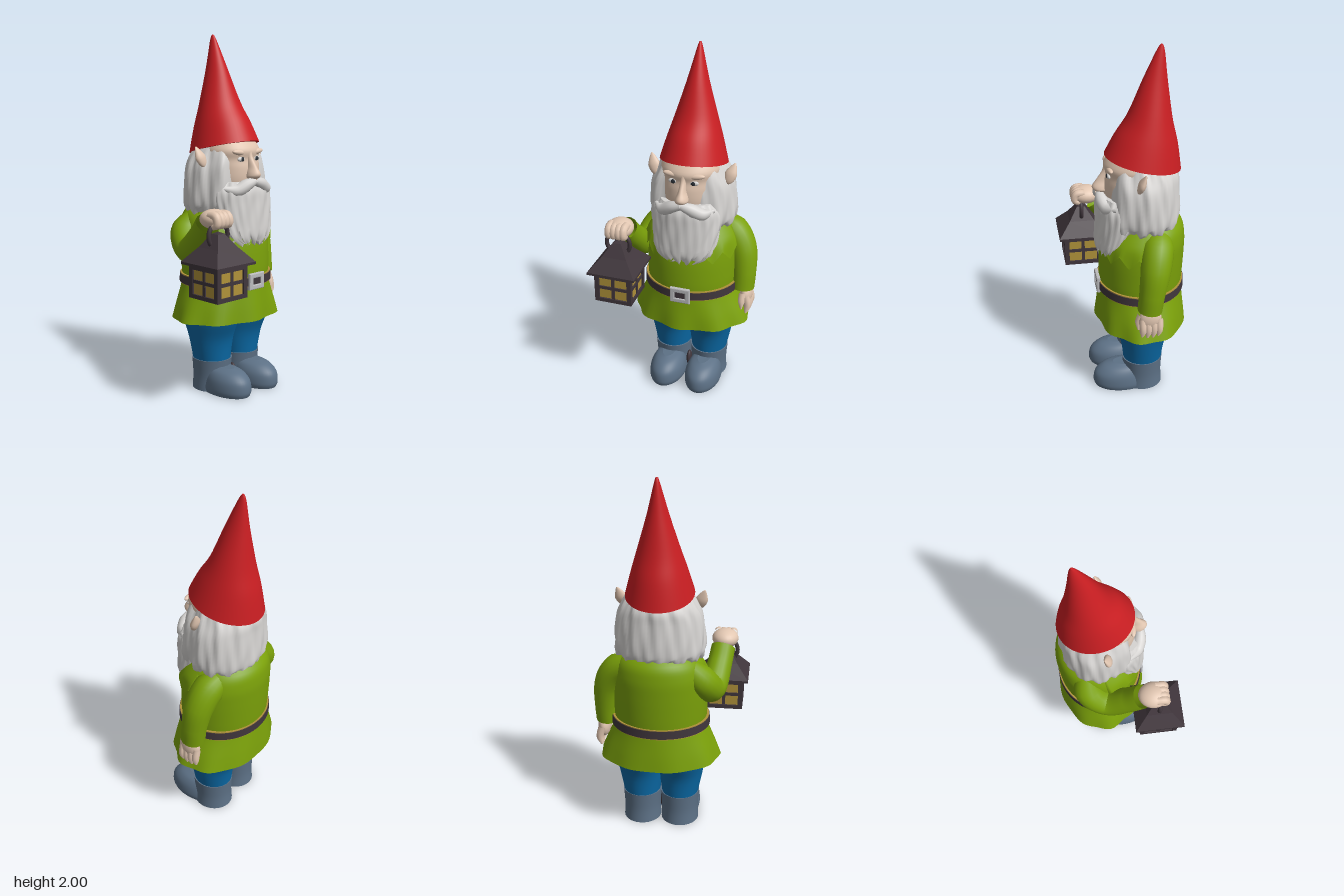
import * as THREE from 'three';

const mat = (name, color, side = THREE.FrontSide) => {
  const m = new THREE.MeshStandardMaterial({ color, side });
  m.name = name;
  return m;
};

export function createModel() {
  const red = mat('hat red', 0xca1e22);
  const green = mat('tunic green', 0x7ba10a, THREE.DoubleSide);
  const blue = mat('trouser blue', 0x0a69a5);
  const slate = mat('boot slate', 0x5d7186);
  const skin = mat('skin', 0xe2c7b2);
  const white = mat('hair white', 0xd6d4d2);
  const iron = mat('dark iron', 0x40363c);
  const amber = mat('window amber', 0xb0923a);
  const silver = mat('buckle silver', 0xbcbcbe);
  const pupilDark = mat('pupil dark', 0x2b3138);

  const gnome = new THREE.Group();
  gnome.name = 'gardenFigure';
  const CX = 0.05; // the body's own centre line

  const add = (name, geo, material, parent = gnome) => {
    const m = new THREE.Mesh(geo, material);
    m.name = name;
    parent.add(m);
    return m;
  };

  // Smooth skin through elliptical sections [y, cx, cz, rx, rz], bottom to top
  const loft = (sections, { n = 40, steps = 5, mod, caps = true } = {}) => {
    const pos = [], idx = [];
    const spline = [0, 1, 2, 3, 4].map(k => s => {
      const i = Math.min(Math.floor(s), sections.length - 2), t = s - i;
      const v = j => sections[Math.max(0, Math.min(sections.length - 1, j))][k];
      const a = v(i - 1), b = v(i), c = v(i + 1), d = v(i + 2);
      return b + 0.5 * t * (c - a + t * (2 * a - 5 * b + 4 * c - d + t * (3 * (b - c) + d - a)));
    });
    const rows = (sections.length - 1) * steps;
    for (let r = 0; r <= rows; r++) {
      const [y, cx, cz, rx, rz] = spline.map(f => f(r / steps));
      for (let i = 0; i < n; i++) {
        const a = i / n * Math.PI * 2;
        const { k = 1, dy = 0 } = mod ? mod(a, y, rz * Math.cos(a)) : {};
        pos.push(cx + rx * k * Math.sin(a), y + dy, cz + rz * k * Math.cos(a));
        if (r < rows) {
          const p = r * n + i, q = r * n + (i + 1) % n;
          idx.push(p, q, q + n, p, q + n, p + n);
        }
      }
    }
    // Flat end caps with their own vertices
    if (caps) for (const r of [0, rows]) {
      const base = pos.length / 3, c = [0, 0, 0];
      for (let i = 0; i < n; i++) for (let k = 0; k < 3; k++) {
        const v = pos[(r * n + i) * 3 + k];
        pos.push(v);
        c[k] += v / n;
      }
      pos.push(...c);
      for (let i = 0; i < n; i++) {
        const p = base + i, q = base + (i + 1) % n;
        idx.push(...(r ? [p, q, base + n] : [q, p, base + n]));
      }
    }
    const g = new THREE.BufferGeometry();
    g.setAttribute('position', new THREE.Float32BufferAttribute(pos, 3));
    g.setIndex(idx);
    g.computeVertexNormals();
    return g;
  };

  // Tube along points whose radius follows a list spread evenly over its length
  const limb = (points, radii, segs = 30, sides = 18) => {
    const curve = new THREE.CatmullRomCurve3(points.map(p => new THREE.Vector3(...p)));
    const g = new THREE.TubeGeometry(curve, segs, 1, sides);
    const p = g.attributes.position, v = new THREE.Vector3();
    for (let i = 0; i < p.count; i++) {
      const u = Math.floor(i / (sides + 1)) / segs, s = u * (radii.length - 1);
      const j = Math.min(Math.floor(s), radii.length - 2);
      const r = THREE.MathUtils.lerp(radii[j], radii[j + 1], s - j);
      const c = curve.getPointAt(u);
      v.fromBufferAttribute(p, i).sub(c).multiplyScalar(r).add(c);
      p.setXYZ(i, v.x, v.y, v.z);
    }
    return g;
  };

  const blob = (name, material, [x, y, z], [rx, ry, rz], rotZ = 0) => {
    const m = add(name, new THREE.SphereGeometry(1, 24, 16), material);
    m.position.set(x, y, z);
    m.scale.set(rx, ry, rz);
    m.rotation.z = rotZ;
  };

  // Pointed hat with its brim lower at the back
  add('hat', loft([[1.375, CX, -0.095, 0.187, 0.207], [1.5, CX, -0.112, 0.152, 0.169], [1.62, CX, -0.13, 0.115, 0.12],
    [1.8, CX, -0.152, 0.06, 0.07], [1.96, CX, -0.179, 0.018, 0.024], [2, CX, -0.185, 0.006, 0.006]],
    { n: 48, mod: (a, y, z) => ({ dy: 0.22 * z * Math.max(0, Math.min(1, (1.75 - y) / 0.37)) }) }), red);

  // Head and face, with a wedge-shaped nose
  add('face', loft([[1.1, CX, -0.04, 0.13, 0.14], [1.2, CX, -0.04, 0.155, 0.158], [1.27, CX, -0.04, 0.158, 0.158],
    [1.32, CX, -0.04, 0.158, 0.15], [1.37, CX, -0.045, 0.163, 0.16], [1.43, CX, -0.05, 0.14, 0.125]]), skin);
  add('nose', loft([[1.212, CX, 0.125, 0.02, 0.03], [1.225, CX, 0.13, 0.036, 0.045], [1.245, CX, 0.13, 0.033, 0.05],
    [1.28, CX, 0.115, 0.021, 0.042], [1.33, CX, 0.1, 0.017, 0.025], [1.37, CX, 0.095, 0.022, 0.02]], { n: 24 }), skin);
  for (const s of [-1, 1]) {
    blob('brow', skin, [CX + s * 0.062, 1.358, 0.092], [0.055, 0.016, 0.018], s * 0.12);
    blob('eye', white, [CX + s * 0.058, 1.322, 0.098], [0.027, 0.014, 0.011]);
    blob('pupil', pupilDark, [CX + s * 0.056, 1.322, 0.107], [0.012, 0.012, 0.004]);
    // Ear pinched to a point at the top
    const g = new THREE.SphereGeometry(1, 20, 14), p = g.attributes.position;
    for (let i = 0; i < p.count; i++) {
      const k = 1 - 0.55 * Math.max(0, p.getY(i));
      p.setXYZ(i, p.getX(i) * k, p.getY(i), p.getZ(i) * k);
    }
    g.computeVertexNormals();
    const ear = add('ear', g, skin);
    ear.position.set(CX + s * 0.22, 1.335, -0.055);
    ear.scale.set(0.034, 0.062, 0.02);
    ear.rotation.set(-0.3, 0, -s * 0.3);
    // Broad moustache drooping into the beard
    add('moustache', limb([[CX, 1.2, 0.142], [CX + s * 0.05, 1.185, 0.138], [CX + s * 0.11, 1.155, 0.115],
      [CX + s * 0.165, 1.165, 0.07]], [0.022, 0.036, 0.034, 0.01], 24, 14), white);
  }

  // Hair and beard with wavy strands and a ragged lower edge
  const strands = (low, sideburn) => (a, y) => ({
    k: 1 + 0.025 * Math.sin(11 * a + 3 * Math.sin(y * 9)) + 0.016 * Math.sin(23 * a + y * 14)
      + sideburn * Math.exp(-(((Math.acos(Math.cos(a)) - 0.72) / 0.2) ** 2)),
    dy: y < low ? 0.012 * Math.sin(13 * a) + 0.008 * Math.sin(29 * a) : 0,
  });
  add('hair', loft([[1.01, CX, -0.1, 0.2, 0.15], [1.05, CX, -0.1, 0.237, 0.19], [1.12, CX, -0.1, 0.245, 0.198],
    [1.25, CX, -0.1, 0.232, 0.192], [1.33, CX, -0.1, 0.2, 0.183], [1.42, CX, -0.085, 0.15, 0.13]],
    { n: 96, mod: strands(1.06, 0.11) }), white);
  add('beard', loft([[0.86, CX, 0.115, 0.09, 0.04], [0.9, CX, 0.1, 0.155, 0.07], [0.97, CX, 0.07, 0.18, 0.1],
    [1.08, CX, 0.04, 0.195, 0.125], [1.15, CX, 0.03, 0.19, 0.13], [1.2, CX, 0.02, 0.16, 0.118]],
    { n: 96, mod: strands(0.93, 0) }), white);

  // Tunic with folds toward the hem, softer at the back
  add('tunic', loft([[0.42, 0.055, -0.085, 0.34, 0.255], [0.5, 0.053, -0.085, 0.31, 0.248], [0.6, CX, -0.085, 0.268, 0.237],
    [0.64, CX, -0.085, 0.259, 0.234], [0.72, CX, -0.087, 0.262, 0.237], [0.85, CX, -0.094, 0.264, 0.236],
    [0.95, CX, -0.105, 0.255, 0.225], [1.03, CX, -0.12, 0.212, 0.188], [1.1, CX, -0.12, 0.1, 0.1]],
    { n: 64, caps: false, mod: (a, y) => ({
      k: 1 + (0.13 + 0.07 * Math.cos(a)) * Math.max(0, 0.6 - y) * Math.cos(9 * a + 0.6),
    }) }), green);
  add('collar', loft([[0.88, CX, -0.09, 0.276, 0.25], [0.96, CX, -0.1, 0.259, 0.23], [1.04, CX, -0.12, 0.205, 0.19]],
    { n: 112, caps: false, mod: (a, y) => ({
      k: Math.cos(a) < 0.15 ? 0.92 : 1,
      dy: y < 0.95 ? (Math.abs((a * 14 / Math.PI) % 2 - 1) - 0.5) * 0.9 * (0.95 - y) : 0,
    }) }), green);

  // Belt with a thin trim, and its buckle
  add('beltTrim', loft([[0.616, CX, -0.085, 0.274, 0.244], [0.672, CX, -0.085, 0.272, 0.243]], { n: 64, steps: 1 }), amber);
  add('belt', loft([[0.621, CX, -0.085, 0.277, 0.247], [0.667, CX, -0.085, 0.275, 0.246]], { n: 64, steps: 1 }), iron);
  const frame = new THREE.Shape([[-0.052, -0.04], [0.052, -0.04], [0.052, 0.04], [-0.052, 0.04]].map(p => new THREE.Vector2(...p)));
  frame.holes.push(new THREE.Path([[-0.036, -0.024], [-0.036, 0.024], [0.036, 0.024], [0.036, -0.024]].map(p => new THREE.Vector2(...p))));
  add('buckle', new THREE.ExtrudeGeometry(frame, { depth: 0.012, bevelSize: 0.006, bevelThickness: 0.005, bevelSegments: 2 }), silver)
    .position.set(CX, 0.645, 0.153);
  add('buckleCentre', new THREE.BoxGeometry(0.08, 0.062, 0.018), iron).position.set(CX, 0.645, 0.155);

  // Trousers and boots
  for (const s of [-1, 1]) {
    const c = CX + s * 0.11;
    add('trouserLeg', loft([[0.16, c, -0.085, 0.102, 0.11], [0.3, c + s * 0.005, -0.085, 0.125, 0.13],
      [0.43, c + s * 0.01, -0.085, 0.142, 0.185], [0.52, c + s * 0.01, -0.085, 0.13, 0.19]]), blue);
    add('bootShaft', loft([[0, c, -0.085, 0.108, 0.115], [0.08, c, -0.085, 0.105, 0.11], [0.18, c, -0.083, 0.112, 0.117]]), slate);
    add('bootFoot', loft([[0, c, 0.03, 0.1, 0.165], [0.03, c, 0.035, 0.106, 0.17], [0.085, c, 0.04, 0.098, 0.155],
      [0.125, c, 0.025, 0.075, 0.125], [0.144, c, 0, 0.04, 0.09]]), slate);
  }
  blob('bootClasp', iron, [CX, 0.075, -0.03], [0.016, 0.05, 0.03]);

  // Left arm hanging, with relaxed fingers
  add('leftSleeve', limb([[0.19, 0.98, -0.16], [0.28, 0.94, -0.14], [0.335, 0.85, -0.12], [0.353, 0.72, -0.1], [0.352, 0.615, -0.088]],
    [0.065, 0.088, 0.084, 0.077, 0.07, 0.068]), green);
  blob('leftPalm', skin, [0.375, 0.575, -0.087], [0.036, 0.07, 0.062]);
  for (let i = 0; i < 4; i++) {
    const z = -0.135 + i * 0.03;
    add('leftFinger', limb([[0.38, 0.58, z], [0.394, 0.52, z], [0.386, 0.455 + Math.abs(i - 1.5) * 0.008, z + 0.004]],
      [0.022, 0.022, 0.02, 0.006], 14, 10), skin);
  }
  add('leftThumb', limb([[0.365, 0.6, -0.04], [0.362, 0.55, -0.024], [0.362, 0.5, -0.024]], [0.022, 0.02, 0.005], 12, 10), skin);

  // Right arm bent forward, with a closed fist
  add('rightSleeve', limb([[-0.1, 0.99, -0.17], [-0.19, 0.9, -0.16], [-0.235, 0.83, -0.07], [-0.265, 0.92, 0.05], [-0.28, 1.0, 0.12]],
    [0.06, 0.085, 0.08, 0.076, 0.07, 0.068]), green);
  blob('rightFist', skin, [-0.287, 1.033, 0.18], [0.075, 0.053, 0.085]);
  for (let i = 0; i < 4; i++) {
    const x = -0.33 + i * 0.028;
    add('rightFinger', limb([[x, 1.058, 0.19], [x, 1.052, 0.236], [x, 1.015, 0.245], [x, 0.995, 0.205]],
      [0.024, 0.024, 0.022, 0.014], 16, 10), skin);
  }

  // Lantern: roof, ring handle, amber core and iron frame with crossed bars on every side
  const lantern = new THREE.Group();
  lantern.name = 'lantern';
  lantern.position.set(-0.29, 0, 0.21);
  gnome.add(lantern);
  const profile = [[0, 0.8], [0.138, 0.8], [0.138, 0.813], [0.072, 0.89], [0.024, 0.96], [0, 0.972]];
  const roof = new THREE.LatheGeometry(profile.map(([h, y]) => new THREE.Vector2(h * Math.SQRT2, y)), 4)
    .rotateY(Math.PI / 4).toNonIndexed();
  roof.computeVertexNormals();
  add('lanternRoof', roof, iron, lantern);
  add('lanternRing', new THREE.TorusGeometry(0.068, 0.012, 10, 32), iron, lantern).position.y = 0.95;
  add('lanternPanes', new THREE.BoxGeometry(0.196, 0.17, 0.196), amber, lantern).position.y = 0.715;
  const bar = (w, h, d, x, y, z, parent) =>
    add('lanternBar', new THREE.BoxGeometry(w, h, d), iron, parent).position.set(x, y, z);
  bar(0.216, 0.022, 0.216, 0, 0.633, 0, lantern);
  bar(0.216, 0.03, 0.216, 0, 0.79, 0, lantern);
  for (let i = 0; i < 4; i++) {
    const side = new THREE.Group();
    side.name = 'lanternSide';
    side.rotation.y = i * Math.PI / 2;
    lantern.add(side);
    bar(0.026, 0.17, 0.026, 0.095, 0.715, 0.095, side);
    bar(0.018, 0.16, 0.012, 0, 0.715, 0.099, side);
    bar(0.19, 0.018, 0.012, 0, 0.712, 0.099, side);
  }
  return gnome;
}
